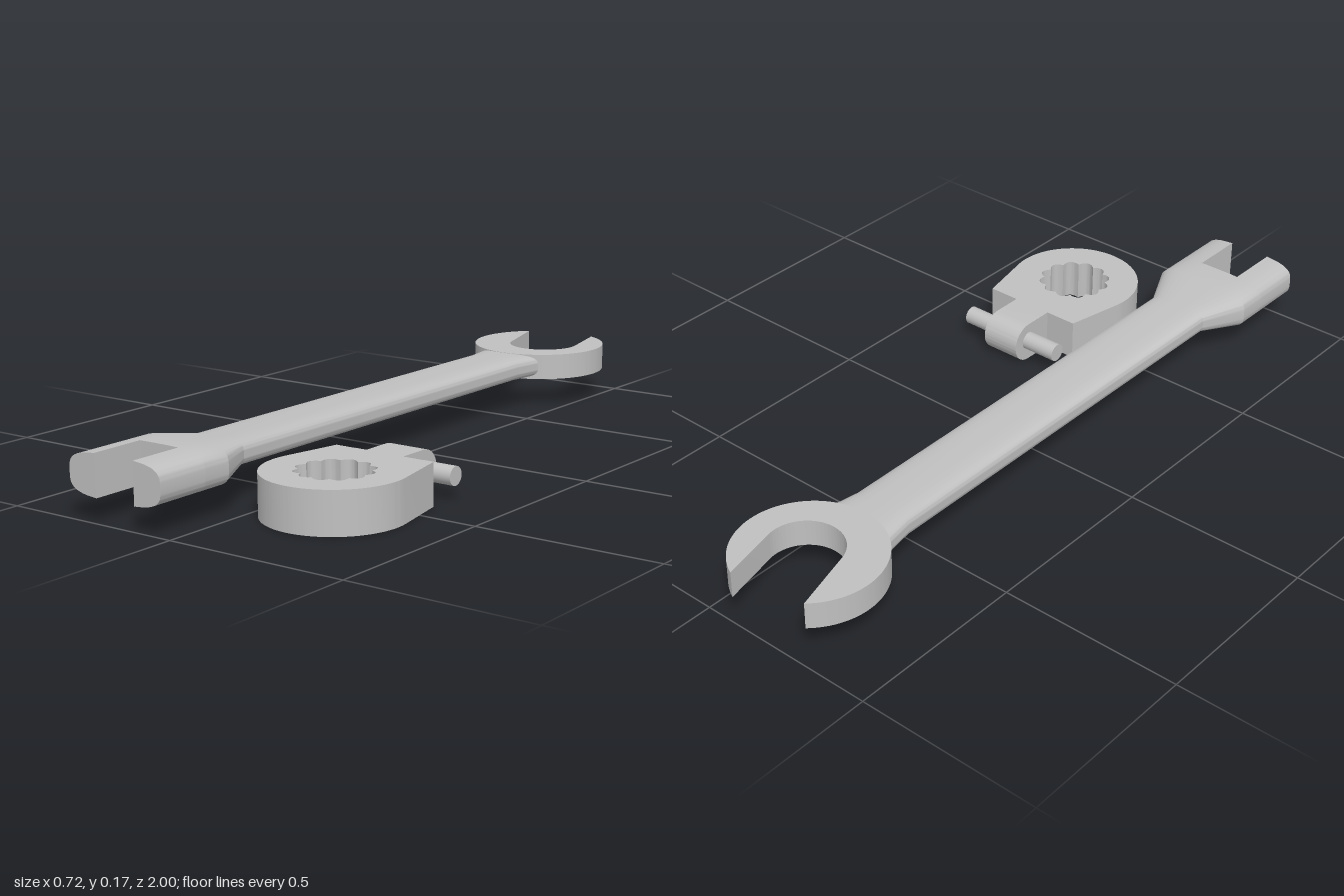
import * as THREE from 'three';
import { toCreasedNormals } from 'three/addons/utils/BufferGeometryUtils.js';

const steel = new THREE.MeshStandardMaterial({ color: 0xc0c0c0 });
steel.name = 'steel';

function add(group, name, geometry) {
  const mesh = new THREE.Mesh(geometry, steel);
  mesh.name = name;
  group.add(mesh);
  return mesh;
}

// Extrude a plan outline (x, -z) upward from y0 to y1
function slab(shape, y0, y1) {
  const g = new THREE.ExtrudeGeometry(shape, { depth: y1 - y0, bevelEnabled: false, curveSegments: 64 });
  g.rotateX(-Math.PI / 2).translate(0, y0, 0);
  return toCreasedNormals(g, 0.4);
}

// Rounded cross-section of half width w and half height h
function section(w, h, z) {
  const pts = [], n = 72, e = 2 / 3.5;
  for (let i = 0; i < n; i++) {
    const a = (i / n) * Math.PI * 2, c = Math.cos(a), s = Math.sin(a);
    pts.push([w * Math.sign(c) * Math.abs(c) ** e, h * Math.sign(s) * Math.abs(s) ** e, z]);
  }
  return pts;
}

// Skin a row of sections ordered along +z, with end caps
function loft(sections) {
  const n = sections[0].length, index = [];
  sections.slice(1).forEach((_, i) => {
    for (let j = 0; j < n; j++) {
      const k = (j + 1) % n, a = i * n, b = a + n;
      index.push(a + j, a + k, b + k, a + j, b + k, b + j);
    }
  });
  const last = (sections.length - 1) * n;
  for (let j = 1; j < n - 1; j++) {
    index.push(0, j + 1, j, last, last + j, last + j + 1);
  }
  const g = new THREE.BufferGeometry();
  g.setAttribute('position', new THREE.Float32BufferAttribute(sections.flat(2), 3));
  g.setIndex(index);
  return toCreasedNormals(g, 0.4);
}

function buildWrench() {
  const wrench = new THREE.Group();
  wrench.name = 'wrench';
  const rad = THREE.MathUtils.degToRad;

  // Open jaw: disc with a round-bottomed slot tilted 15 degrees
  const jaw = new THREE.Shape();
  const sx = -0.15, sy = 0.822, r = 0.1;
  jaw.absarc(-0.168, 0.825, 0.193, rad(131.5), rad(425.7), false);
  jaw.lineTo(sx + r * Math.cos(rad(15)), sy + r * Math.sin(rad(15)));
  jaw.absarc(sx, sy, r, rad(15), rad(-165), true);
  jaw.closePath();
  add(wrench, 'openJaw', slab(jaw, 0.08, 0.153));

  // Handle, from the neck to the flared end
  const handle = add(wrench, 'handle', loft([
    section(0.108, 0.035, -0.69), section(0.088, 0.035, -0.575),
    section(0.088, 0.035, 0.645), section(0.145, 0.055, 0.765),
    section(0.145, 0.055, 0.847),
  ]));
  handle.position.set(-0.169, 0.117, 0);

  // Fork prongs either side of the end slot
  for (const side of [-1, 1]) {
    const cut = (z) => section(0.145, 0.055, z)
      .map(([x, y, pz]) => [side * Math.max(side * x, 0.061), y, pz]);
    const prong = add(wrench, side > 0 ? 'leftProng' : 'rightProng', loft([cut(0.847), cut(1)]));
    prong.position.copy(handle.position);
  }
  return wrench;
}

function buildRingHead() {
  const head = new THREE.Group();
  head.name = 'ringHead';
  const height = 0.112, bore = 0.152;

  // Housing: round with sides tapering to the shoulders
  const housing = new THREE.Shape();
  const t = 0.204;
  housing.absarc(0, 0, 0.184, Math.PI - t, Math.PI * 2 + t, false);
  housing.lineTo(0.148, 0.194);
  housing.lineTo(-0.148, 0.194);
  housing.closePath();
  housing.holes.push(new THREE.Path().absarc(0, 0, bore, 0, Math.PI * 2, true));
  add(head, 'housing', slab(housing, 0, height));

  // Socket insert with twelve scallops
  const insert = new THREE.Shape().absarc(0, 0, bore, 0, Math.PI * 2, false);
  const scallops = [];
  for (let i = 0; i < 120; i++) {
    const a = (i / 120) * Math.PI * 2, q = 0.088 + 0.014 * Math.abs(Math.sin(6 * a));
    scallops.push(new THREE.Vector2(q * Math.cos(a), q * Math.sin(a)));
  }
  insert.holes.push(new THREE.Path(scallops));
  add(head, 'socketInsert', slab(insert, 0, height));

  // Hinge tab with a rounded end
  const tab = new THREE.Shape();
  tab.moveTo(0.19, 0);
  tab.lineTo(0.278, 0);
  tab.absarc(0.278, 0.056, 0.056, -Math.PI / 2, Math.PI / 2, false);
  tab.lineTo(0.19, height);
  tab.closePath();
  const tabGeo = new THREE.ExtrudeGeometry(tab, { depth: 0.114, bevelEnabled: false, curveSegments: 24 });
  tabGeo.rotateY(Math.PI / 2).translate(-0.056, 0, 0);
  add(head, 'hingeTab', toCreasedNormals(tabGeo, 0.4));

  // Hinge pin
  const pin = add(head, 'hingePin', new THREE.CylinderGeometry(0.025, 0.025, 0.314, 32));
  pin.rotation.z = Math.PI / 2;
  pin.position.set(-0.002, 0.06, -0.278);

  head.position.set(0.176, 0, 0.614);
  return head;
}

export function createModel() {
  const model = new THREE.Group();
  model.name = 'wrenchSet';
  model.add(buildWrench(), buildRingHead());
  return model;
}
